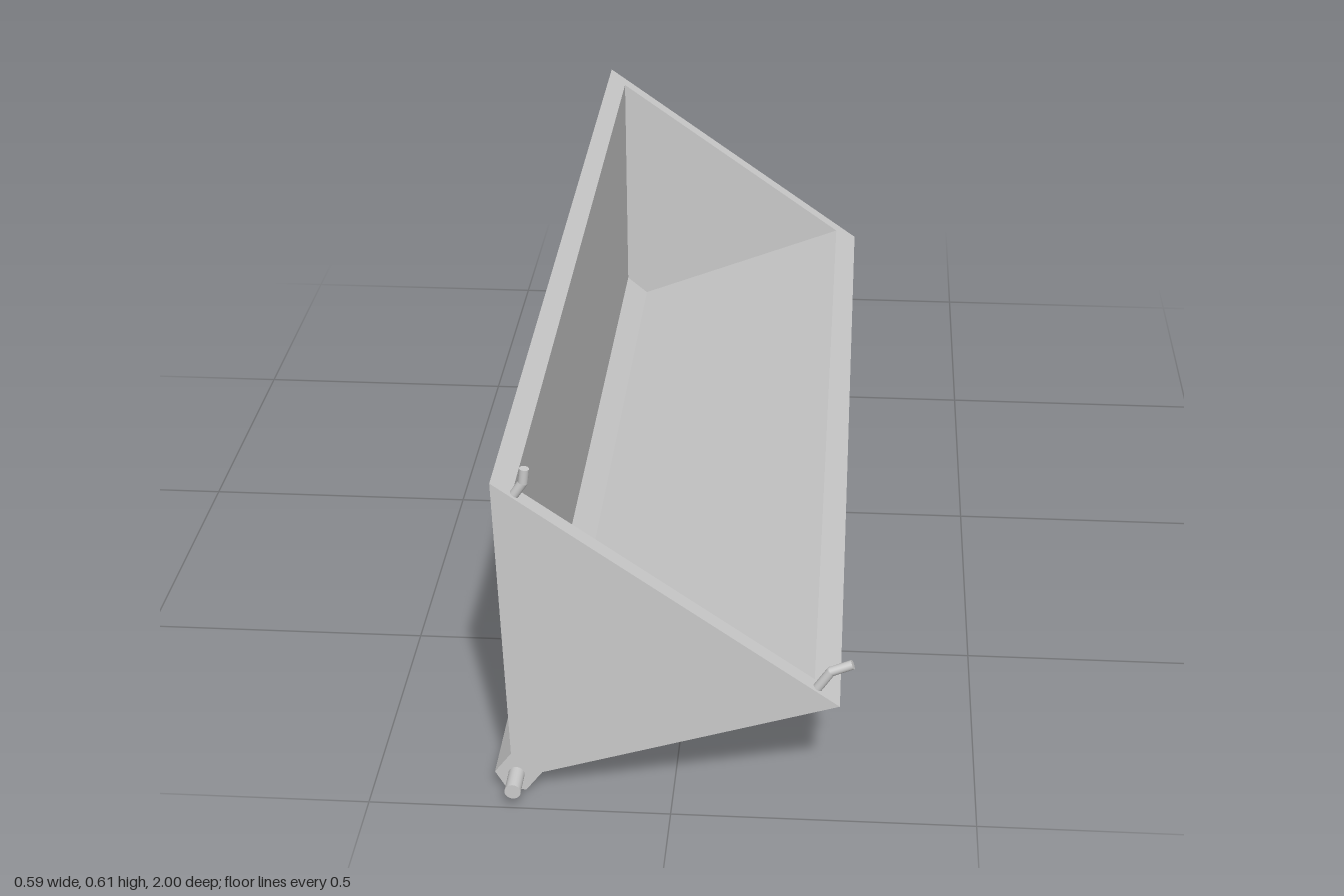
import * as THREE from 'three';

const material = new THREE.MeshStandardMaterial({ color: 0xcccccc });
const flatMaterial = new THREE.MeshStandardMaterial({ color: 0xcccccc, flatShading: true });
const FRONT = 0.95, BACK = -0.935;        // outer ends of the bin
const IN_FRONT = 0.918, IN_BACK = -0.9;   // inner ends of the cavity

// End profile, counter-clockwise from the upper tip, with the hinge knuckle at the bottom
const outer = [[-0.283, 0.587], [-0.268, 0.075], [-0.296, 0.038], [-0.28, 0.01],
  [-0.245, 0.003], [-0.217, 0.04], [0.272, 0.193]];
// Cavity profile, counter-clockwise from the upper lip
const inner = [[-0.25, 0.5636], [-0.25, 0.09], [-0.207, 0.054], [0.23, 0.2228]];

function add(group, name, geometry, mat = material) {
  const mesh = new THREE.Mesh(geometry, mat);
  mesh.name = name;
  group.add(mesh);
  return mesh;
}

function quads(list) {
  const pos = list.flatMap(([a, b, c, d]) => [a, b, c, a, c, d].flat());
  const geometry = new THREE.BufferGeometry();
  geometry.setAttribute('position', new THREE.Float32BufferAttribute(pos, 3));
  geometry.computeVertexNormals();
  return geometry;
}

// Walls swept along z under an open profile; the last edge is left open
function walls(profile, front, back) {
  return quads(profile.slice(1).map((q, i) => {
    const p = profile[i];
    return [[...p, front], [...p, back], [...q, back], [...q, front]];
  }));
}

function endPlate(profile, z, facing) {
  const geometry = new THREE.ShapeGeometry(new THREE.Shape(profile.map(p => new THREE.Vector2(...p))));
  if (facing < 0) {
    const index = geometry.index.array;
    for (let i = 0; i < index.length; i += 3) [index[i], index[i + 1]] = [index[i + 1], index[i]];
    geometry.computeVertexNormals();
  }
  return geometry.translate(0, 0, z);
}

// Round bar between two points
function bar(group, name, a, b, radius) {
  const from = new THREE.Vector3(...a), to = new THREE.Vector3(...b);
  const mesh = add(group, name, new THREE.CylinderGeometry(radius, radius, from.distanceTo(to), 20));
  mesh.position.lerpVectors(from, to, 0.5);
  mesh.quaternion.setFromUnitVectors(new THREE.Vector3(0, 1, 0), to.sub(from).normalize());
}

export function createModel() {
  const model = new THREE.Group();
  model.name = 'tippingTrough';

  // Outer shell with both ends
  add(model, 'outerShell', walls(outer, FRONT, BACK), flatMaterial);
  add(model, 'frontEnd', endPlate(outer, FRONT, 1), flatMaterial);
  add(model, 'backEnd', endPlate(outer, BACK, -1), flatMaterial);

  // Cavity, faced inwards
  add(model, 'cavityWalls', walls([...inner].reverse(), IN_FRONT, IN_BACK), flatMaterial);
  add(model, 'cavityFrontWall', endPlate(inner, IN_FRONT, -1), flatMaterial);
  add(model, 'cavityBackWall', endPlate(inner, IN_BACK, 1), flatMaterial);

  // Sloping rim around the opening
  const ring = (top, low, front, back) => [[...top, front], [...low, front], [...low, back], [...top, back]];
  const o = ring(outer[0], outer[6], FRONT, BACK);
  const n = ring(inner[0], inner[3], IN_FRONT, IN_BACK);
  add(model, 'rim', quads(o.map((p, i) => [p, o[(i + 1) % 4], n[(i + 1) % 4], n[i]])), flatMaterial);

  // Hinge pins at both ends
  bar(model, 'frontHingePin', [-0.26, 0.035, 0.93], [-0.26, 0.035, 1], 0.0135);
  bar(model, 'backHingePin', [-0.26, 0.035, -0.915], [-0.26, 0.035, -1], 0.0135);

  // Bent hooks on the front rim
  const hooks = {
    upperHook: [[-0.251, 0.555], [-0.2325, 0.583], [-0.2295, 0.608]],
    lowerHook: [[0.231, 0.213], [0.256, 0.251], [0.291, 0.266]],
  };
  for (const [name, points] of Object.entries(hooks)) {
    const hook = new THREE.Group();
    hook.name = name;
    const [a, b, c] = points.map(p => [...p, 0.936]);
    bar(hook, 'hookStem', a, b, 0.008);
    bar(hook, 'hookTip', b, c, 0.008);
    add(hook, 'hookBend', new THREE.SphereGeometry(0.008, 16, 12)).position.set(...b);
    model.add(hook);
  }
  return model;
}
